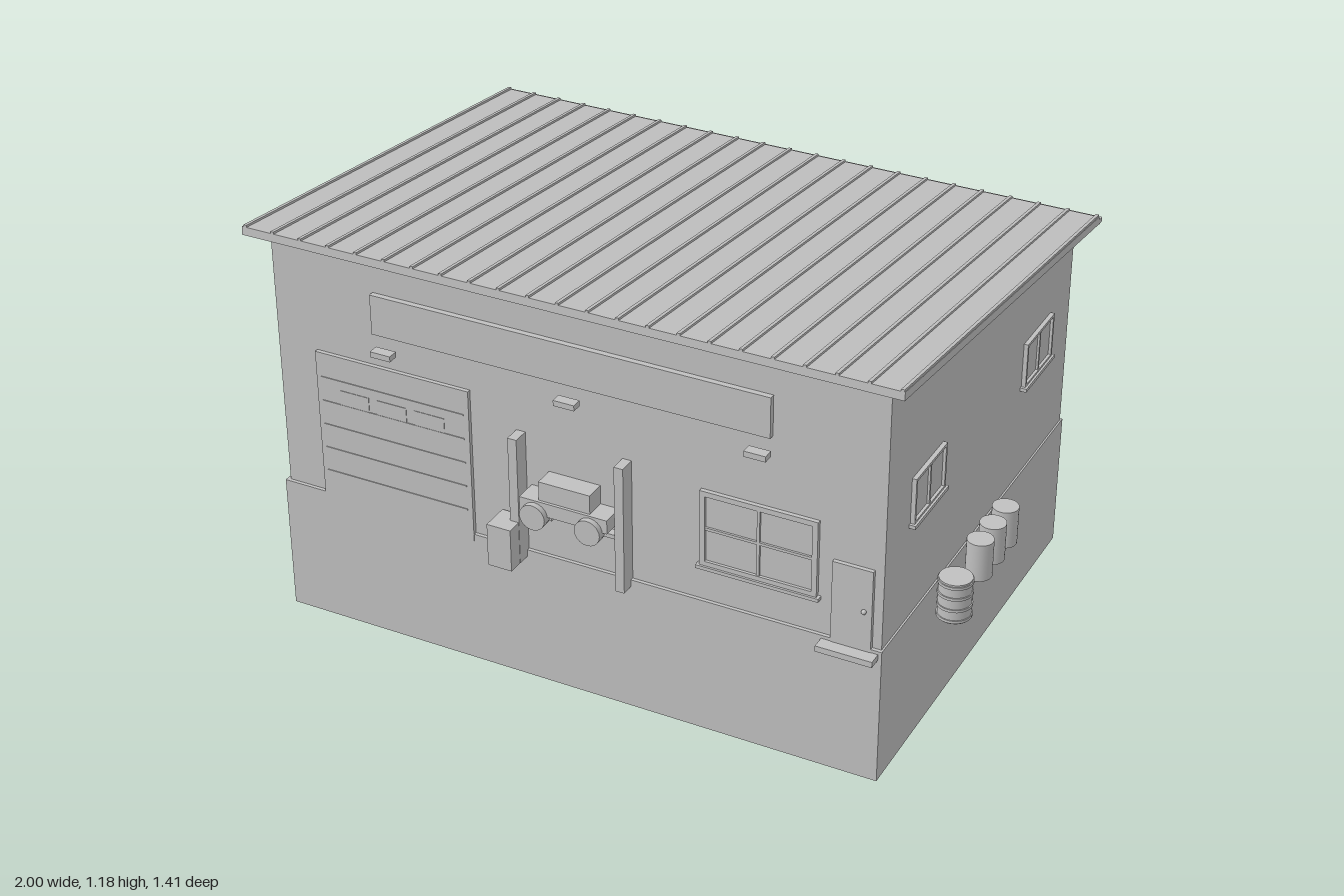
import * as THREE from 'three';

export function createModel() {
  const root = new THREE.Group();
  const grey = new THREE.MeshStandardMaterial({ color: 0xc0c0c0 });
  grey.name = 'plain grey';

  const add = (name, geometry, parent = root) => {
    const mesh = new THREE.Mesh(geometry, grey);
    mesh.name = name;
    parent.add(mesh);
    return mesh;
  };
  const group = (name) => {
    const g = new THREE.Group();
    g.name = name;
    root.add(g);
    return g;
  };
  // Box given by its limits on each axis
  const box = (name, x0, x1, y0, y1, z0, z1, parent) =>
    add(name, new THREE.BoxGeometry(x1 - x0, y1 - y0, z1 - z0)
      .translate((x0 + x1) / 2, (y0 + y1) / 2, (z0 + z1) / 2), parent);
  // Side outline of [z, y] points, extended from x0 to x1
  const slab = (name, points, x0, x1, parent) => {
    const shape = new THREE.Shape(points.map(([z, y]) => new THREE.Vector2(z, y)));
    const g = new THREE.ExtrudeGeometry(shape, { depth: x1 - x0, bevelEnabled: false });
    return add(name, g.rotateY(-Math.PI / 2).translate(x1, 0, 0), parent);
  };

  // Shell and sloping roof
  box('foundation', -0.9, 0.865, 0, 0.4, -0.64, 0.625);
  slab('walls', [[-0.633, 0.39], [0.615, 0.39], [0.615, 1.15], [-0.633, 1.009]], -0.89, 0.86);
  const roof = group('roof');
  slab('roofSheet', [[-0.688, 1.003], [0.662, 1.153], [0.66, 1.176], [-0.685, 1.026]], -0.945, 0.91, roof);
  for (let i = 0; i < 23; i++) {
    const x = -0.94 + i * 0.0836;
    slab('roofSeam', [[-0.685, 1.025], [0.66, 1.175], [0.66, 1.182], [-0.685, 1.032]], x, x + 0.009, roof);
  }
  box('gutter', -0.945, 0.91, 1.002, 1.016, -0.707, -0.688, roof);

  // Blank sign board and its lamps
  box('signBoard', -0.585, 0.553, 0.935, 1.05, 0.61, 0.631);
  for (const x of [-0.545, -0.005, 0.525])
    box('signLamp', x - 0.03, x + 0.03, 0.884, 0.9, 0.629, 0.659);

  // Sectional garage door
  const door = group('garageDoor');
  box('doorPanel', -0.77, -0.305, 0.38, 0.835, 0.61, 0.6265, door);
  for (let i = 1; i < 6; i++)
    box('doorRib', -0.755, -0.32, 0.4 + i * 0.072, 0.404 + i * 0.072, 0.624, 0.629, door);
  for (const x of [-0.7, -0.585, -0.47])
    box('doorPane', x, x + 0.09, 0.69, 0.735, 0.624, 0.628, door);

  // Two post lift with control cabinet
  const lift = group('carLift');
  for (const x of [-0.157, 0.15])
    box('liftPost', x - 0.013, x + 0.013, 0.38, 0.754, 0.61, 0.662, lift);
  box('liftArm', -0.152, -0.05, 0.533, 0.545, 0.63, 0.655, lift);
  box('liftArm', 0.04, 0.148, 0.533, 0.545, 0.63, 0.655, lift);
  box('controlCabinet', -0.215, -0.145, 0.38, 0.505, 0.625, 0.706, lift);

  // Car raised on the lift
  const car = group('car');
  box('carBody', -0.13, 0.125, 0.56, 0.6, 0.61, 0.68, car);
  box('carCabin', -0.077, 0.072, 0.598, 0.655, 0.61, 0.672, car);
  for (const x of [-0.085, 0.075])
    add('carWheel', new THREE.CylinderGeometry(0.037, 0.037, 0.03, 20)
      .rotateX(Math.PI / 2).translate(x, 0.557, 0.681), car);

  // Framed window facing +z, centred on its own origin
  const makeWindow = (name, w, h, bar, rows) => {
    const g = group(name);
    box('windowPane', -w / 2, w / 2, -h / 2, h / 2, -0.005, 0.004, g);
    for (const s of [-1, 1]) {
      const x = s * (w - bar) / 2, y = s * (h - bar) / 2;
      box('windowJamb', x - bar / 2, x + bar / 2, -h / 2, h / 2, -0.005, 0.012, g);
      box('windowRail', -w / 2, w / 2, y - bar / 2, y + bar / 2, -0.005, 0.012, g);
    }
    box('mullion', -0.004, 0.004, -h / 2, h / 2, -0.005, 0.01, g);
    for (let i = 1; i < rows; i++) {
      const y = -h / 2 + h * i / rows;
      box('glazingBar', -w / 2, w / 2, y - 0.004, y + 0.004, -0.005, 0.01, g);
    }
    box('windowSill', -w / 2 - 0.008, w / 2 + 0.008, -h / 2 - 0.008, -h / 2 + 0.002, -0.005, 0.018, g);
    return g;
  };
  makeWindow('officeWindow', 0.325, 0.222, 0.015, 2).position.set(0.522, 0.619, 0.615);
  for (const s of [-1, 1])
    for (const z of [0.366, -0.385]) {
      const win = makeWindow('sideWindow', 0.197, 0.132, 0.008, 1);
      win.position.set(s > 0 ? 0.86 : -0.89, 0.751, z);
      win.rotation.y = s * Math.PI / 2;
    }

  // Entrance door and step
  const entrance = group('entranceDoor');
  box('doorLeaf', 0.725, 0.835, 0.385, 0.63, 0.61, 0.6265, entrance);
  add('doorKnob', new THREE.SphereGeometry(0.007, 12, 8).translate(0.815, 0.51, 0.631), entrance);
  box('doorStep', 0.7, 0.855, 0.374, 0.391, 0.61, 0.662, entrance);

  // Ribbed drum
  const drum = group('drum');
  const cylinder = (name, r, y0, y1, x, z, parent) =>
    add(name, new THREE.CylinderGeometry(r, r, y1 - y0, 24).translate(x, (y0 + y1) / 2, z), parent);
  cylinder('drumBody', 0.044, 0.38, 0.497, 0.95, 0.363, drum);
  for (const y of [0.387, 0.42, 0.455, 0.488])
    cylinder('drumHoop', 0.047, y - 0.004, y + 0.004, 0.95, 0.363, drum);

  // Row of plain cylinders
  const tanks = group('tankRow');
  for (const z of [0.165, 0.078, -0.01])
    cylinder('tank', 0.036, 0.38, 0.49, 0.937, z, tanks);

  // Air compressor with hose
  const air = group('compressor');
  add('airTank', new THREE.CylinderGeometry(0.034, 0.034, 0.12, 20)
    .rotateX(Math.PI / 2).translate(-0.967, 0.44, 0.233), air);
  box('motor', -0.99, -0.946, 0.472, 0.515, 0.2, 0.268, air);
  for (const z of [0.19, 0.262])
    box('tankFoot', -0.985, -0.948, 0.378, 0.412, z, z + 0.015, air);
  const hose = new THREE.CatmullRomCurve3([[-0.946, 0.49, 0.265], [-0.926, 0.475, 0.32],
    [-0.919, 0.435, 0.37], [-0.93, 0.382, 0.41]].map((p) => new THREE.Vector3(...p)));
  add('airHose', new THREE.TubeGeometry(hose, 20, 0.004, 8), air);

  return root;
}
